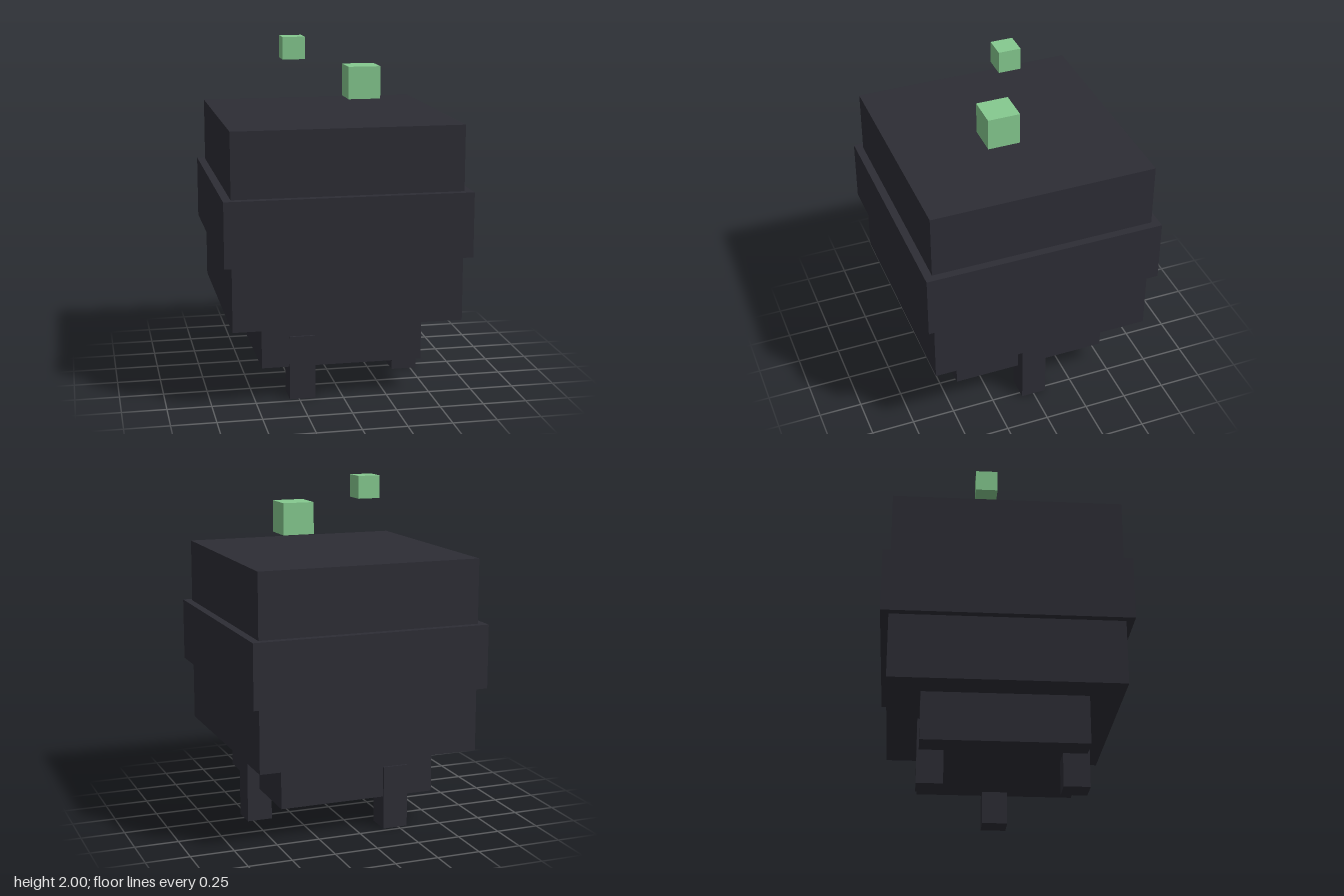
import * as THREE from 'three';

export function createModel() {
  const model = new THREE.Group();
  const iron = new THREE.MeshStandardMaterial({ color: 0x2d2d35 });
  iron.name = 'dark iron';
  const bubbleGreen = new THREE.MeshStandardMaterial({ color: 0x85c98f });
  bubbleGreen.name = 'bubble green';
  const liquidGreen = new THREE.MeshStandardMaterial({ color: 0x5cd06c });
  liquidGreen.name = 'liquid green';

  // Box centred on (x, z) with its underside at y
  function box(name, material, [w, h, d], [x, y, z]) {
    const mesh = new THREE.Mesh(new THREE.BoxGeometry(w, h, d), material);
    mesh.name = name;
    mesh.position.set(x, y + h / 2, z);
    model.add(mesh);
  }

  // Stacked pot: narrow base, lower body, wide belly band, upper body
  box('base', iron, [0.92, 0.276, 0.92], [0, 0.19, 0]);
  box('lowerBody', iron, [1.29, 0.369, 1.29], [0, 0.466, 0]);
  box('bellyBand', iron, [1.38, 0.366, 1.38], [0, 0.835, 0]);
  box('upperBody', iron, [1.29, 0.368, 1.29], [0, 1.201, 0]);

  // Liquid sheet lying just under the top face
  box('liquid', liquidGreen, [1.12, 0.008, 1.12], [0, 1.559, 0]);

  // Three square legs spaced evenly around the base
  for (let i = 0; i < 3; i++) {
    const a = (i * Math.PI * 2) / 3;
    box('leg', iron, [0.147, 0.368, 0.147], [0.46 * Math.cos(a), 0, 0.46 * Math.sin(a)]);
  }

  // Cubic bubbles floating above the pot
  box('largeBubble', bubbleGreen, [0.184, 0.184, 0.184], [0.183, 1.661, 0.092]);
  box('smallBubble', bubbleGreen, [0.129, 0.129, 0.129], [-0.186, 1.871, -0.094]);

  return model;
}
